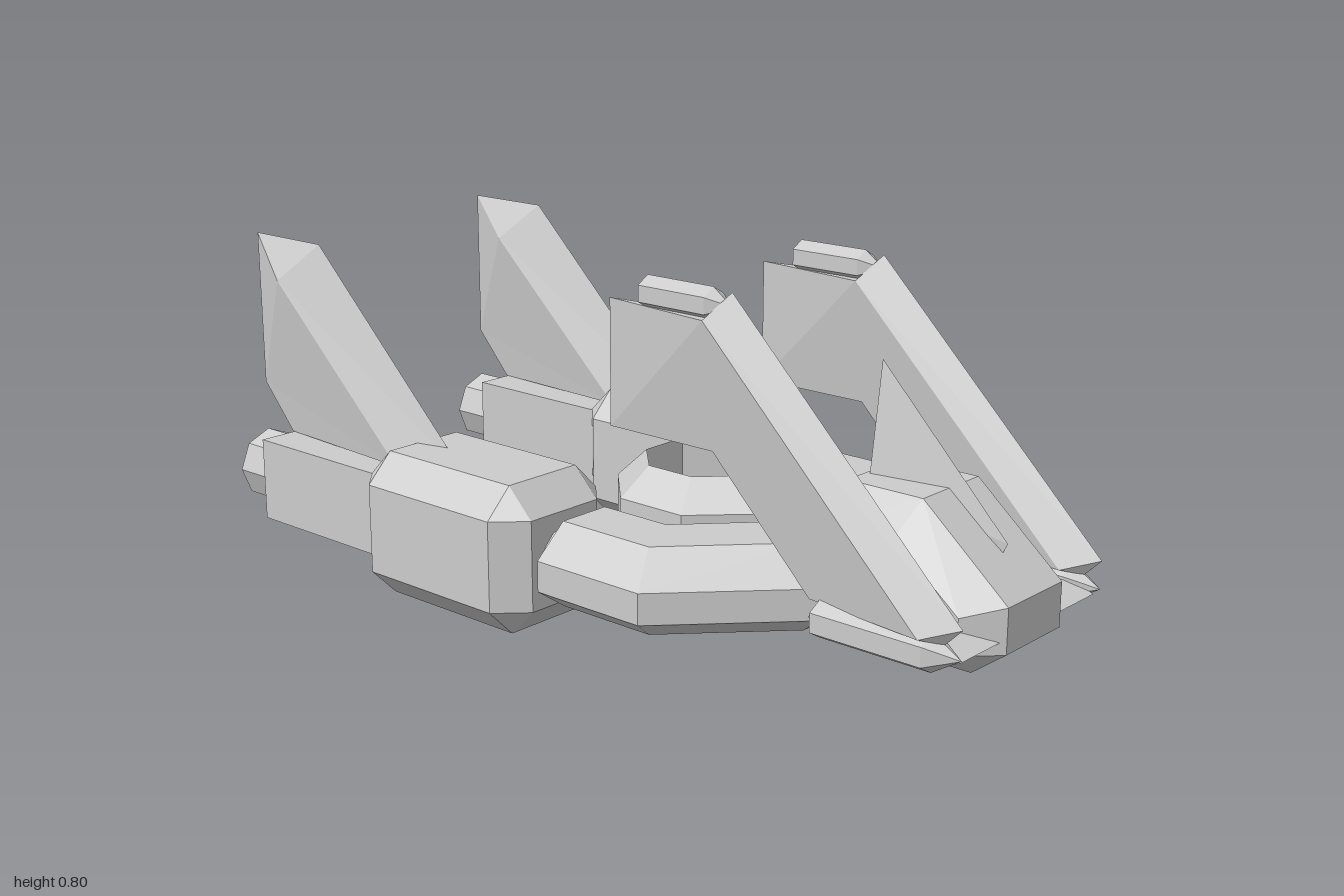
import * as THREE from 'three';
import { ConvexGeometry } from 'three/addons/geometries/ConvexGeometry.js';

const flat = new THREE.MeshStandardMaterial({ color: 0xcccccc, flatShading: true, side: THREE.DoubleSide });
const smooth = new THREE.MeshStandardMaterial({ color: 0xcccccc, side: THREE.DoubleSide });

function add(parent, name, geometry, x = 0, y = 0, z = 0, material = flat) {
  const mesh = new THREE.Mesh(geometry, material);
  mesh.name = name;
  mesh.position.set(x, y, z);
  parent.add(mesh);
  return mesh;
}

function fromTriangles(points) {
  const g = new THREE.BufferGeometry().setFromPoints(points);
  g.computeVertexNormals();
  return g;
}

// Box with every edge cut off by c
function chamferedBox(w, h, d, c) {
  const pts = [];
  for (const sx of [-1, 1]) for (const sy of [-1, 1]) for (const sz of [-1, 1]) {
    for (let full = 0; full < 3; full++) {
      const p = [w / 2, h / 2, d / 2].map((v, i) => (i === full ? v : v - c));
      pts.push(new THREE.Vector3(sx * p[0], sy * p[1], sz * p[2]));
    }
  }
  return new ConvexGeometry(pts);
}

// Cylinder lying along z, from z0 (back) to z1 (front)
function tube(r0, r1, z0, z1, sides) {
  const g = new THREE.CylinderGeometry(r1, r0, z1 - z0, sides);
  g.rotateX(Math.PI / 2);
  g.translate(0, 0, (z0 + z1) / 2);
  return g;
}

// Sharp-edged fin: outline of [z, y, nearest ridge end], thickest along the ridge
function fin(outline, ridge, half) {
  const tris = [];
  for (const s of [1, -1]) {
    const rim = (p) => new THREE.Vector3(0, p[1], p[0]);
    const top = (k) => new THREE.Vector3(s * half, ridge[k][1], ridge[k][0]);
    const tri = (a, b, c) => tris.push(...(s > 0 ? [a, b, c] : [a, c, b]));
    outline.forEach((a, i) => {
      const b = outline[(i + 1) % outline.length];
      tri(rim(a), rim(b), top(a[2]));
      if (a[2] !== b[2]) tri(rim(b), top(b[2]), top(a[2]));
    });
  }
  return fromTriangles(tris);
}

// U-shaped hull: one section swept between inner and outer corner points
function hullGeometry() {
  const half = [[0.27, 0.07, 0.48, 0.07], [0.27, 0.25, 0.48, 0.36], [0.09, 0.42, 0.21, 0.62]];
  const stations = [...half, ...half.map(([a, b, c, d]) => [-a, b, -c, d]).reverse()];
  const section = [[0, 0.265], [0.62, 0.265], [1, 0.195], [1, 0.125], [0.62, 0.07], [0, 0.07]];
  const loops = stations.map(([xi, zi, xo, zo]) =>
    section.map(([t, y]) => new THREE.Vector3(xi + (xo - xi) * t, y, zi + (zo - zi) * t)));
  const n = section.length, tris = [];
  for (let i = 0; i < loops.length - 1; i++) {
    for (let j = 0; j < n; j++) {
      const k = (j + 1) % n;
      const a = loops[i][j], b = loops[i][k], c = loops[i + 1][k], d = loops[i + 1][j];
      tris.push(a, d, c, a, c, b);
    }
  }
  const first = loops[0], last = loops[loops.length - 1];
  for (let j = 1; j < n - 1; j++) {
    tris.push(first[0], first[j], first[j + 1], last[0], last[j + 1], last[j]);
  }
  return fromTriangles(tris);
}

function podGeometry() {
  const half = [
    [0.1, 0.12, 1], [0.1, 0.22, 1], [0.1, 0.06, 0.92], [0.17, 0.12, 0.93], [0.17, 0.2, 0.93],
    [0.1, 0.4, 0.79], [0.17, 0.33, 0.77],
    [0.1, 0.4, 0.6], [0.17, 0.33, 0.6], [0.17, 0.12, 0.6], [0.1, 0.06, 0.6],
    [0.1, 0.33, 0.54], [0.1, 0.12, 0.54],
  ];
  return new ConvexGeometry(half.flatMap(([x, y, z]) =>
    [new THREE.Vector3(x, y, z), new THREE.Vector3(-x, y, z)]));
}

// Octagonal duct with a bladed fan
function liftFan() {
  const group = new THREE.Group();
  group.name = 'liftFan';
  const k = 1 / Math.cos(Math.PI / 8);
  const profile = [[0.15, 0.055], [0.215, 0.11], [0.215, 0.27], [0.15, 0.337], [0.15, 0.055]];
  const duct = new THREE.LatheGeometry(profile.map(([r, y]) => new THREE.Vector2(r * k, y)), 8);
  duct.rotateY(Math.PI / 8);
  add(group, 'fanDuct', duct.toNonIndexed());
  add(group, 'fanHub', new THREE.CylinderGeometry(0.035, 0.045, 0.06, 16), 0, 0.2, 0);
  const count = 22;
  for (let i = 0; i < count; i++) {
    const blade = new THREE.PlaneGeometry(0.105, 0.036);
    const p = blade.attributes.position;
    for (let v = 0; v < p.count; v++) if (p.getX(v) < 0) p.setY(v, p.getY(v) * 0.35);
    blade.rotateX(-Math.PI / 2 + 0.5);
    blade.translate(0.083, 0, 0);
    blade.rotateY((i / count) * Math.PI * 2);
    add(group, 'fanBlade', blade, 0, 0.2, 0);
  }
  group.position.z = 0.155;
  return group;
}

function sideParts(s) {
  const group = new THREE.Group();
  group.name = s > 0 ? 'leftSide' : 'rightSide';
  const x = s * 0.365;

  // Engine nacelle, tail boom and nozzle
  add(group, 'engineNacelle', chamferedBox(0.335, 0.34, 0.52, 0.066), x, 0.17, -0.22);
  add(group, 'engineCoupling', tube(0.07, 0.07, 0.03, 0.08, 12), x, 0.17, 0, smooth);
  add(group, 'tailBoom', new THREE.BoxGeometry(0.195, 0.2, 0.43), x, 0.17, -0.68);
  add(group, 'nozzle', tube(0.088, 0.088, -1, -0.88, 8), x, 0.17, 0);
  add(group, 'tailFin', fin(
    [[-0.27, 0.28, 0], [-0.9, 0.27, 0], [-1, 0.38, 1], [-1, 0.755, 1], [-0.765, 0.755, 1]],
    [[-0.46, 0.28], [-0.87, 0.66]], 0.047), x);

  // Forward swept-back fin with a tube at its foot and its tip
  const fx = s * 0.26;
  add(group, 'frontFin', fin(
    [[1, 0.22, 0], [0.96, 0.18, 0], [0.63, 0.19, 0], [0.37, 0.45, 1], [0.08, 0.45, 1],
      [0.08, 0.735, 1], [0.37, 0.735, 1], [0.42, 0.795, 1]],
    [[0.92, 0.19], [0.37, 0.735]], 0.036), fx);
  add(group, 'footTube', tube(0.043, 0.043, 0.66, 0.93, 6), fx, 0.157, 0);
  add(group, 'footTubeTip', tube(0.043, 0, 0.93, 1, 6), fx, 0.157, 0);
  add(group, 'tipTube', tube(0.036, 0.036, 0.19, 0.37, 6), fx, 0.764, 0);
  add(group, 'tipTubeNose', tube(0.036, 0, 0.37, 0.42, 6), fx, 0.764, 0);

  // Flat stub wing between pod and fin
  const wing = [];
  for (const [y, z] of [[0.147, 0.99], [0.172, 0.93], [0.172, 0.66], [0.147, 0.62], [0.122, 0.66], [0.122, 0.93]]) {
    wing.push(new THREE.Vector3(s * 0.1, y, z), new THREE.Vector3(s * 0.25, y, z));
  }
  add(group, 'stubWing', new ConvexGeometry(wing));

  // Strut holding the fan duct
  add(group, 'ductStrut', new THREE.BoxGeometry(0.09, 0.05, 0.05), s * 0.245, 0.19, 0.155);
  return group;
}

export function createModel() {
  const model = new THREE.Group();
  model.name = 'aircraft';
  add(model, 'hull', hullGeometry());
  add(model, 'cockpitPod', podGeometry());

  // Wedge-shaped crest on the pod
  add(model, 'crestFin', new ConvexGeometry([
    new THREE.Vector3(0, 0.31, 0.93), new THREE.Vector3(0, 0.64, 0.61), new THREE.Vector3(0, 0.25, 0.9),
    new THREE.Vector3(0.037, 0.38, 0.61), new THREE.Vector3(-0.037, 0.38, 0.61),
  ]));
  model.add(liftFan(), sideParts(1), sideParts(-1));
  return model;
}
